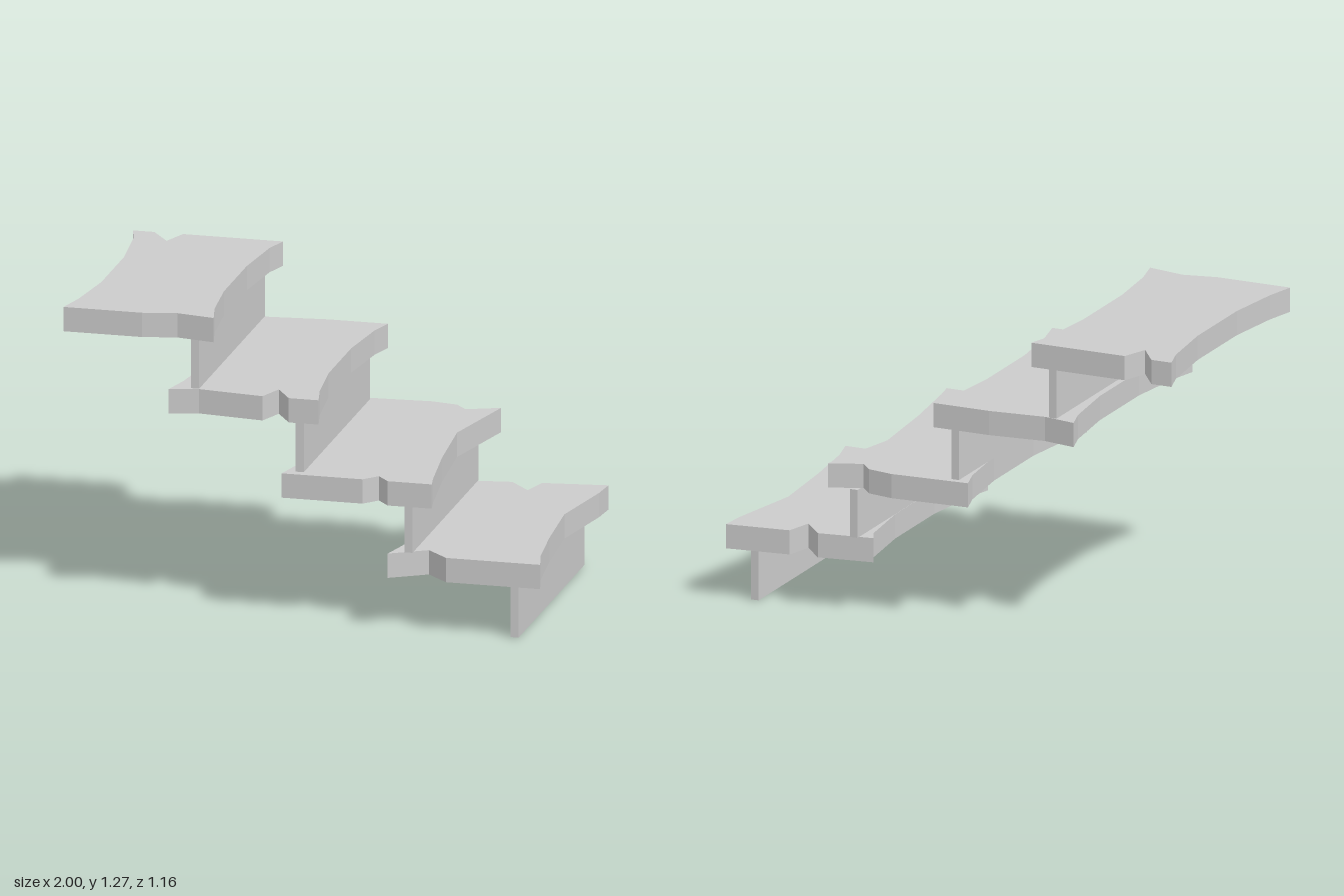
import * as THREE from 'three';

const material = new THREE.MeshStandardMaterial({ color: 0xcccccc, flatShading: true });
const THICK = 0.103;
const WIDTH = 0.63;

// Worn long edge of a plank, running from back to front: [inset, z]
const WORN = [[0, -0.545], [0.03, -0.44], [0.06, -0.17], [0.06, 0.2], [0.03, 0.45], [0, 0.58]];
const leftEdge = (x) => WORN.map(([d, z]) => [x + d, z]);
const rightEdge = (x) => WORN.map(([d, z]) => [x + WIDTH - d * 0.95, z]).reverse();

// Each step: plank underside height, riser position, and outline pieces (x, z)
// front = chips from low x to high x, back = chips from high x to low x
const STEPS = [
  {
    y: 1.167, riser: -0.457, bottom: 0.955,
    left: leftEdge(-1),
    front: [[-0.67, 0.58], [-0.53, 0.55]],
    right: [[-0.37, 0.58], [-0.4, 0.45], [-0.425, 0.2], [-0.425, -0.17], [-0.4, -0.44], [-0.37, -0.545]],
    back: [[-0.79, -0.545], [-0.83, -0.435], [-0.91, -0.545]],
  },
  {
    y: 0.851, riser: -0.018, bottom: 0.634,
    left: leftEdge(-0.56),
    front: [[-0.44, 0.547], [-0.165, 0.58], [-0.125, 0.47], [-0.055, 0.58]],
    right: rightEdge(-0.56),
    back: [[-0.18, -0.545], [-0.42, -0.52]],
  },
  {
    y: 0.53, riser: 0.438, bottom: 0.326,
    left: leftEdge(-0.085),
    front: [[0.255, 0.58], [0.308, 0.52], [0.36, 0.58]],
    right: [[0.545, 0.58], [0.53, 0.5], [0.49, 0.2], [0.46, -0.16], [0.545, -0.545]],
    back: [[0.41, -0.49], [0.36, -0.545], [0.25, -0.565]],
  },
  {
    y: 0.223, riser: 0.883, bottom: 0,
    left: [[0.36, -0.5], ...leftEdge(0.36).slice(1)],
    front: [[0.51, 0.49], [0.605, 0.58]],
    right: [[1, 0.58], [0.97, 0.46], [0.94, 0.2], [0.915, -0.14], [0.975, -0.47], [0.985, -0.585]],
    back: [[0.715, -0.55], [0.685, -0.435], [0.595, -0.535]],
  },
];

// Plank: outline on the ground plane, extruded upward
function makeTread({ left, front, right, back, y }) {
  const outline = [...left, ...front, ...right, ...back];
  const shape = new THREE.Shape(outline.map(([x, z]) => new THREE.Vector2(x, -z)));
  const geometry = new THREE.ExtrudeGeometry(shape, { depth: THICK, bevelEnabled: false });
  geometry.rotateX(-Math.PI / 2);
  const mesh = new THREE.Mesh(geometry, material);
  mesh.position.y = y;
  return mesh;
}

// Upright board beneath a plank
function makeRiser({ y, riser, bottom }) {
  const mesh = new THREE.Mesh(new THREE.BoxGeometry(0.034, y - bottom, 1.07), material);
  mesh.position.set(riser, (y + bottom) / 2, 0.01);
  return mesh;
}

export function createModel() {
  const group = new THREE.Group();
  group.name = 'wornStaircase';
  STEPS.forEach((step, i) => {
    const tread = makeTread(step);
    tread.name = `tread${i + 1}`;
    const riser = makeRiser(step);
    riser.name = `riser${i + 1}`;
    group.add(tread, riser);
  });
  return group;
}
